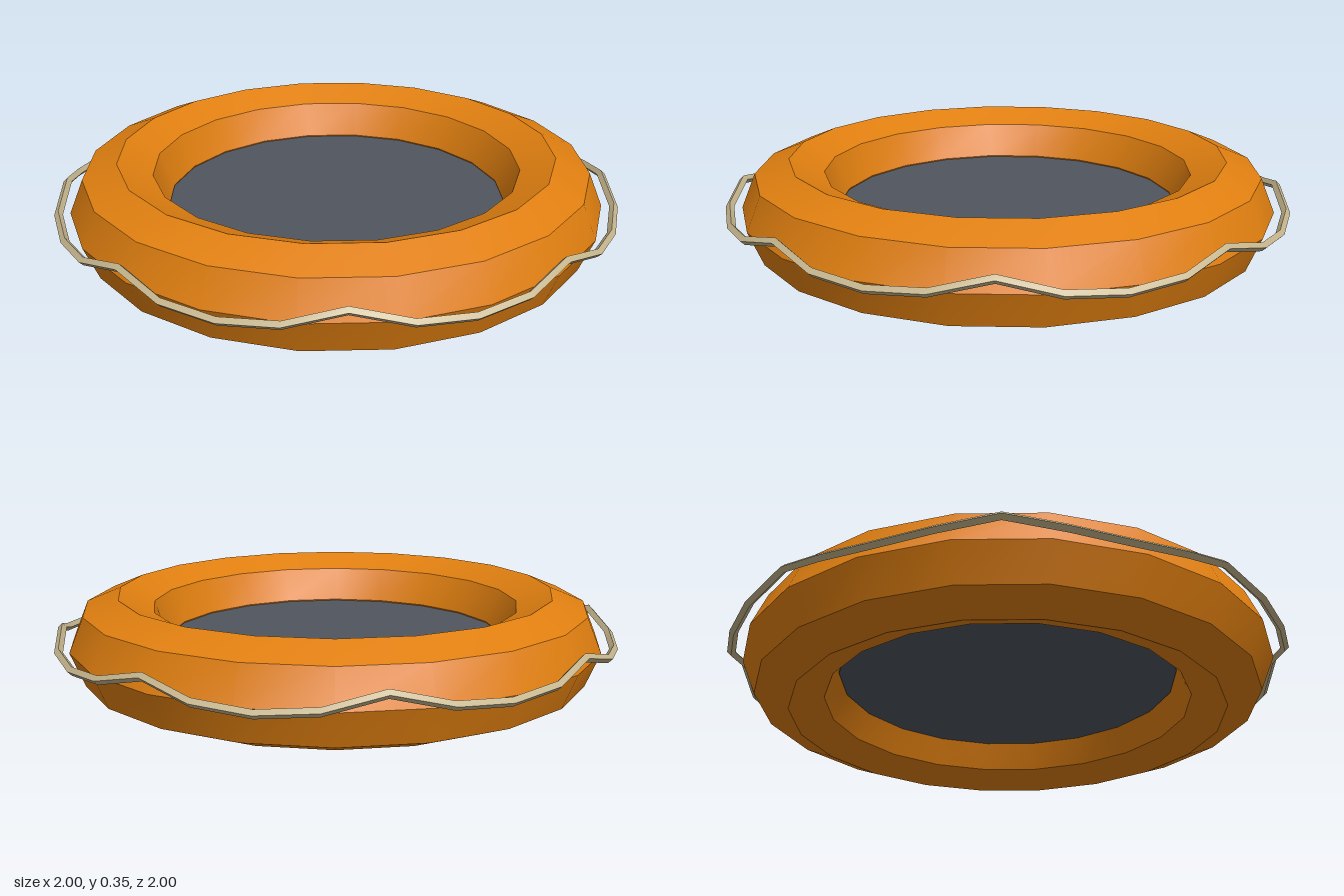
import * as THREE from 'three';
import { toCreasedNormals } from 'three/addons/utils/BufferGeometryUtils.js';

const material = (name, color) => {
  const m = new THREE.MeshStandardMaterial({ color });
  m.name = name;
  return m;
};

// Closed rope with a four-sided section, pinned at eight points and sagging between them
function ropeGeometry() {
  const count = 32, thickness = 0.015;
  const positions = [], index = [];
  for (let i = 0; i < count; i++) {
    const angle = (i / count) * Math.PI * 2;
    const step = i % 4;
    const radius = step === 0 ? 0.985 : 1.004;
    const fromTrough = (step - 2) / 2;
    const y = 0.175 + 0.06 * fromTrough * fromTrough;
    for (let j = 0; j < 4; j++) {
      const a = (j / 4) * Math.PI * 2;
      const r = radius + Math.cos(a) * thickness;
      positions.push(Math.sin(angle) * r, y + Math.sin(a) * thickness, Math.cos(angle) * r);
      const next = ((i + 1) % count) * 4, k = (j + 1) % 4;
      index.push(i * 4 + j, next + j, next + k, i * 4 + j, next + k, i * 4 + k);
    }
  }
  const geometry = new THREE.BufferGeometry();
  geometry.setAttribute('position', new THREE.Float32BufferAttribute(positions, 3));
  geometry.setIndex(index);
  return toCreasedNormals(geometry, 0.6);
}

export function createModel() {
  const group = new THREE.Group();
  const add = (name, geometry, mat, y = 0) => {
    const mesh = new THREE.Mesh(geometry, mat);
    mesh.name = name;
    mesh.position.y = y;
    group.add(mesh);
  };

  // Inflated ring: eight-sided tube, smooth around and creased across
  const ring = new THREE.TorusGeometry(0.79, 0.175, 8, 20);
  ring.rotateX(-Math.PI / 2);
  add('floatRing', toCreasedNormals(ring, 0.6), material('orange', 0xe07f10), 0.175);

  // Floor panel closing the ring
  add('floor', new THREE.CylinderGeometry(0.62, 0.62, 0.02, 20), material('slate grey', 0x50565f), 0.16);

  // Grab rope looped around the outside
  add('grabRope', ropeGeometry(), material('rope beige', 0xc4b48c));

  return group;
}
